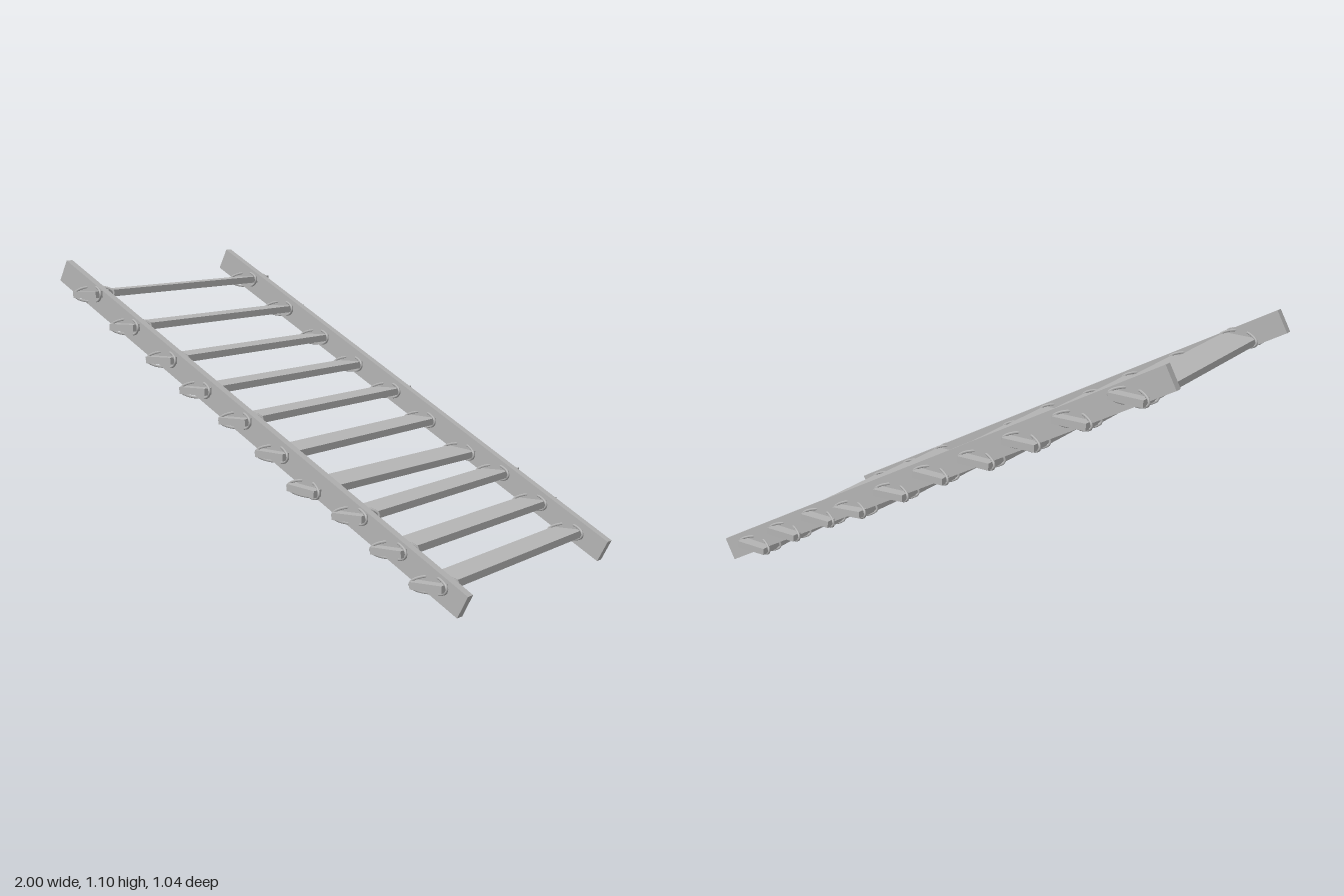
import * as THREE from 'three';

// each rung: x at back end, x at front end, height, tilt about z
const RUNGS = [
  [-0.837, -0.812, 0.975, 0.06], [-0.628, -0.604, 0.86, 0.04], [-0.428, -0.403, 0.75, 0.04],
  [-0.243, -0.225, 0.65, 0.04], [-0.045, -0.024, 0.557, 0.05], [0.134, 0.156, 0.455, 0.0],
  [0.332, 0.305, 0.347, -0.06], [0.489, 0.515, 0.282, 0.05], [0.663, 0.684, 0.188, 0.05],
  [0.824, 0.852, 0.097, 0.06],
];
const RAIL_Z = [0.465, -0.458];

// closed oval loop of cord
class OvalLoop extends THREE.Curve {
  getPoint(t, target = new THREE.Vector3()) {
    const a = t * Math.PI * 2;
    return target.set(Math.cos(a) * 0.084, Math.sin(a) * 0.03, 0);
  }
}

export function createModel() {
  const model = new THREE.Group();
  model.name = 'ladder';
  const grey = new THREE.MeshStandardMaterial({ color: 0xb4b4b4 });
  grey.name = 'grey wood';

  // two sloping side rails
  const railGeo = new THREE.BoxGeometry(2.203, 0.092, 0.03);
  RAIL_Z.forEach((z, i) => {
    const rail = new THREE.Mesh(railGeo, grey);
    rail.name = i ? 'backRail' : 'frontRail';
    rail.position.set(0, 0.5525, z);
    rail.rotation.z = -0.4795;
    model.add(rail);
  });

  // flat rungs, each lashed to both rails with crossed loops
  const plankGeo = new THREE.BoxGeometry(0.13, 0.026, 1.036);
  const loopGeo = new THREE.TubeGeometry(new OvalLoop(), 32, 0.005, 6, true);
  RUNGS.forEach(([backX, frontX, y, tilt], i) => {
    const rung = new THREE.Group();
    rung.name = `rung${i + 1}`;
    rung.position.set((backX + frontX) / 2, y, 0);
    rung.rotation.set(0, Math.atan2(frontX - backX, 1), tilt);
    const plank = new THREE.Mesh(plankGeo, grey);
    plank.name = 'plank';
    rung.add(plank);
    for (const z of RAIL_Z) {
      for (const side of [-1, 1]) {
        const loop = new THREE.Mesh(loopGeo, grey);
        loop.name = 'lashing';
        loop.position.z = z;
        loop.rotation.y = side * 0.45;
        rung.add(loop);
      }
    }
    model.add(rung);
  });
  return model;
}
